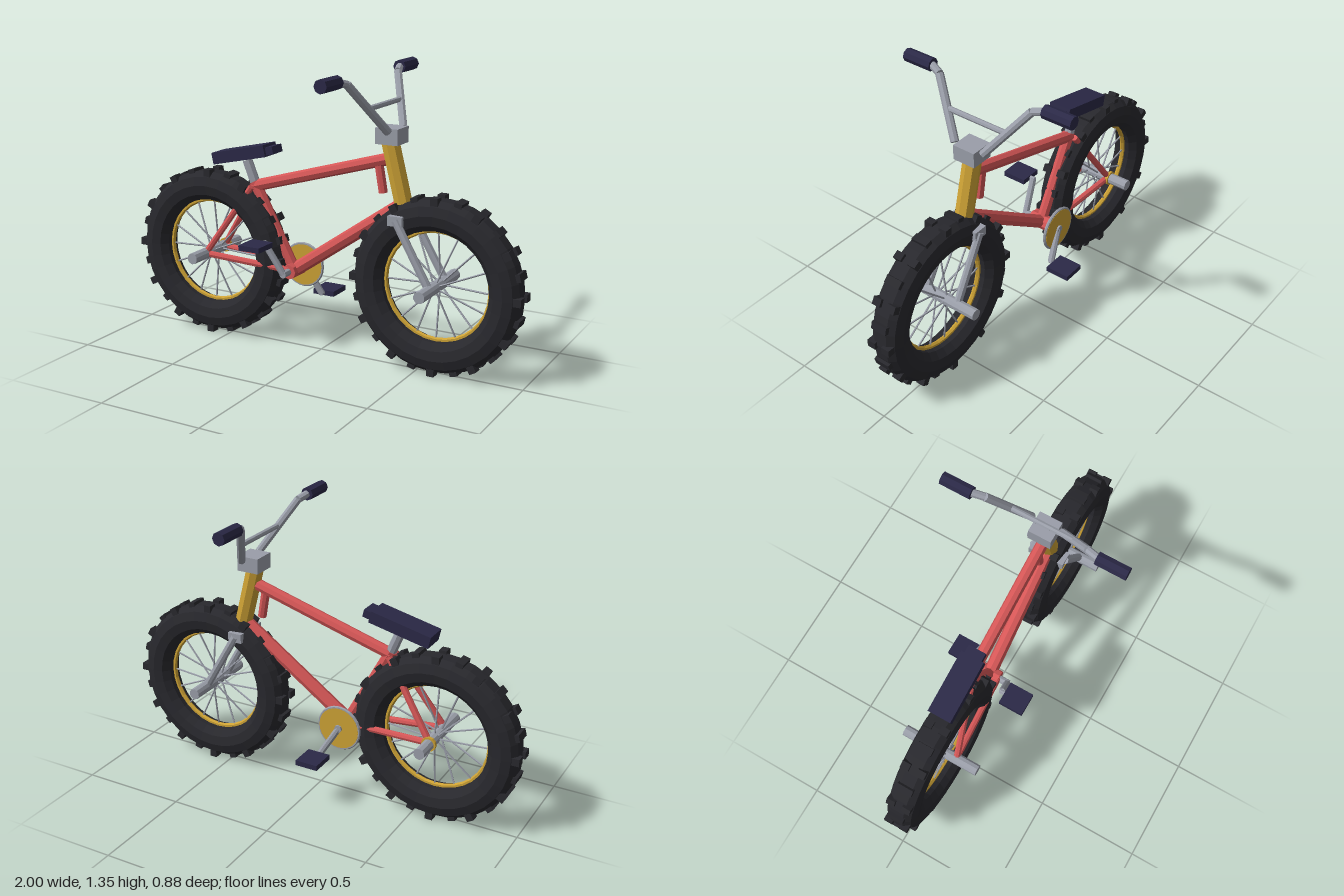
import * as THREE from 'three';

export function createModel() {
  const bike = new THREE.Group();
  bike.name = 'bicycle';
  const mat = (name, color) => {
    const m = new THREE.MeshStandardMaterial({ color, flatShading: true });
    m.name = name;
    return m;
  };
  const red = mat('frameRed', 0xd45656);
  const gold = mat('gold', 0xcda235);
  const silver = mat('silver', 0x9a9ea9);
  const rubber = mat('tireBlack', 0x28282d);
  const navy = mat('darkNavy', 0x2b2947);

  const V = (x, y, z = 0) => new THREE.Vector3(x, y, z);
  const UP = V(0, 1, 0);
  const add = (name, geo, material, parent = bike) => {
    const m = new THREE.Mesh(geo, material);
    m.name = name;
    parent.add(m);
    return m;
  };
  // straight tube between two points
  const tube = (name, a, b, r, material, parent = bike, sides = 8) => {
    const d = b.clone().sub(a);
    const m = add(name, new THREE.CylinderGeometry(r, r, d.length(), sides), material, parent);
    m.position.copy(a).add(b).multiplyScalar(0.5);
    m.quaternion.setFromUnitVectors(UP, d.normalize());
    return m;
  };
  const box = (name, w, h, d, x, y, z, material, parent = bike) => {
    const m = add(name, new THREE.BoxGeometry(w, h, d), material, parent);
    m.position.set(x, y, z);
    return m;
  };

  // wheels: tire with tread blocks, rim, spokes, hub and pegs
  const tireProfile = [
    [0.256, -0.035], [0.285, -0.066], [0.33, -0.075], [0.372, -0.062], [0.395, -0.032],
    [0.395, 0.032], [0.372, 0.062], [0.33, 0.075], [0.285, 0.066], [0.256, 0.035], [0.256, -0.035],
  ].map(([r, z]) => new THREE.Vector2(r, z));

  function wheel(name, x) {
    const g = new THREE.Group();
    g.name = name;
    g.position.set(x, 0.41, 0);
    bike.add(g);
    add('tire', new THREE.LatheGeometry(tireProfile, 32).rotateX(Math.PI / 2), rubber, g);
    const rows = 24;
    for (let i = 0; i < rows; i++) {
      const a = (i / rows) * Math.PI * 2;
      const put = (w, r, z) => {
        const k = box('treadBlock', 0.035, 0.05, w, Math.sin(a) * r, Math.cos(a) * r, z, rubber, g);
        k.rotation.z = -a;
      };
      if (i % 2) put(0.08, 0.383, 0);
      else [-1, 1].forEach((s) => put(0.042, 0.383, s * 0.039));
    }
    add('rim', new THREE.TorusGeometry(0.252, 0.012, 6, 32), gold, g);
    for (let i = 0; i < 16; i++) {
      const a = (i / 16) * Math.PI * 2;
      const s = i % 2 ? 1 : -1;
      tube('spoke', V(Math.cos(a) * 0.015, Math.sin(a) * 0.015, s * 0.03),
        V(Math.cos(a) * 0.25, Math.sin(a) * 0.25, 0), 0.0045, silver, g, 5);
    }
    tube('hubAndPegs', V(0, 0, -0.195), V(0, 0, 0.195), 0.027, silver, g, 10);
  }
  wheel('rearWheel', -0.594);
  wheel('frontWheel', 0.586);

  // frame
  tube('topTube', V(-0.36, 0.755), V(0.335, 0.955), 0.028, red);
  tube('downTube', V(-0.14, 0.375), V(0.4, 0.75), 0.033, red);
  tube('seatTube', V(-0.36, 0.775), V(-0.145, 0.375), 0.027, red);
  tube('gussetTube', V(0.292, 0.93), V(0.315, 0.8), 0.021, red);
  tube('bottomBracket', V(-0.145, 0.375, -0.055), V(-0.145, 0.375, 0.055), 0.036, red);
  for (const s of [-1, 1]) {
    tube('seatStay', V(-0.594, 0.41, s * 0.082), V(-0.36, 0.755, s * 0.03), 0.016, red);
    tube('chainStay', V(-0.594, 0.41, s * 0.08), V(-0.15, 0.383, s * 0.048), 0.016, red);
  }
  tube('headTube', V(0.346, 1.035), V(0.415, 0.765), 0.042, gold);

  // fork
  box('forkCrown', 0.07, 0.045, 0.18, 0.415, 0.7, 0, silver);
  for (const s of [-1, 1])
    tube('forkLeg', V(0.415, 0.705, s * 0.083), V(0.586, 0.41, s * 0.088), 0.019, silver);

  // handlebar
  box('stem', 0.108, 0.072, 0.112, 0.353, 1.064, 0, silver);
  for (const s of [-1, 1]) {
    const pts = [V(0.372, 1.088, s * 0.075), V(0.26, 1.308, s * 0.245), V(0.243, 1.322, s * 0.3)];
    tube('handlebarRiser', pts[0], pts[1], 0.019, silver);
    tube('handlebarBend', pts[1], pts[2], 0.018, silver);
    tube('grip', V(0.242, 1.322, s * 0.296), V(0.242, 1.322, s * 0.441), 0.031, navy);
  }
  tube('handlebarCrossbar', V(0.317, 1.198, -0.165), V(0.317, 1.198, 0.165), 0.013, silver);

  // saddle and post
  tube('seatPost', V(-0.4, 0.875), V(-0.345, 0.74), 0.024, silver);
  const saddle = new THREE.Group();
  saddle.name = 'saddle';
  saddle.position.set(-0.417, 0.906, 0);
  saddle.rotation.z = 0.22;
  bike.add(saddle);
  box('saddleBody', 0.295, 0.056, 0.112, 0, 0, 0, navy, saddle);
  box('saddleNose', 0.08, 0.036, 0.085, 0.146, -0.003, 0, navy, saddle);

  // chainring and rear cog on the right side
  tube('chainring', V(-0.148, 0.375, -0.101), V(-0.148, 0.375, -0.085), 0.1, gold, bike, 24);
  add('chainringEdge', new THREE.TorusGeometry(0.102, 0.008, 6, 24), silver).position.set(-0.148, 0.375, -0.093);
  tube('rearCog', V(-0.594, 0.41, -0.097), V(-0.594, 0.41, -0.083), 0.035, gold, bike, 12);

  // cranks and pedals, half a turn apart
  tube('crankAxle', V(-0.148, 0.375, -0.11), V(-0.148, 0.375, 0.105), 0.018, silver);
  for (const s of [-1, 1]) {
    const px = -0.15 - s * 0.086;
    const py = 0.378 + s * 0.145;
    tube('crankArm', V(-0.148, 0.375, s * 0.097), V(px, py, s * 0.12), 0.016, silver);
    tube('pedalAxle', V(px, py, s * 0.11), V(px, py, s * 0.16), 0.009, silver);
    box('pedal', 0.11, 0.025, 0.12, px, py, s * 0.195, navy);
  }
  return bike;
}
